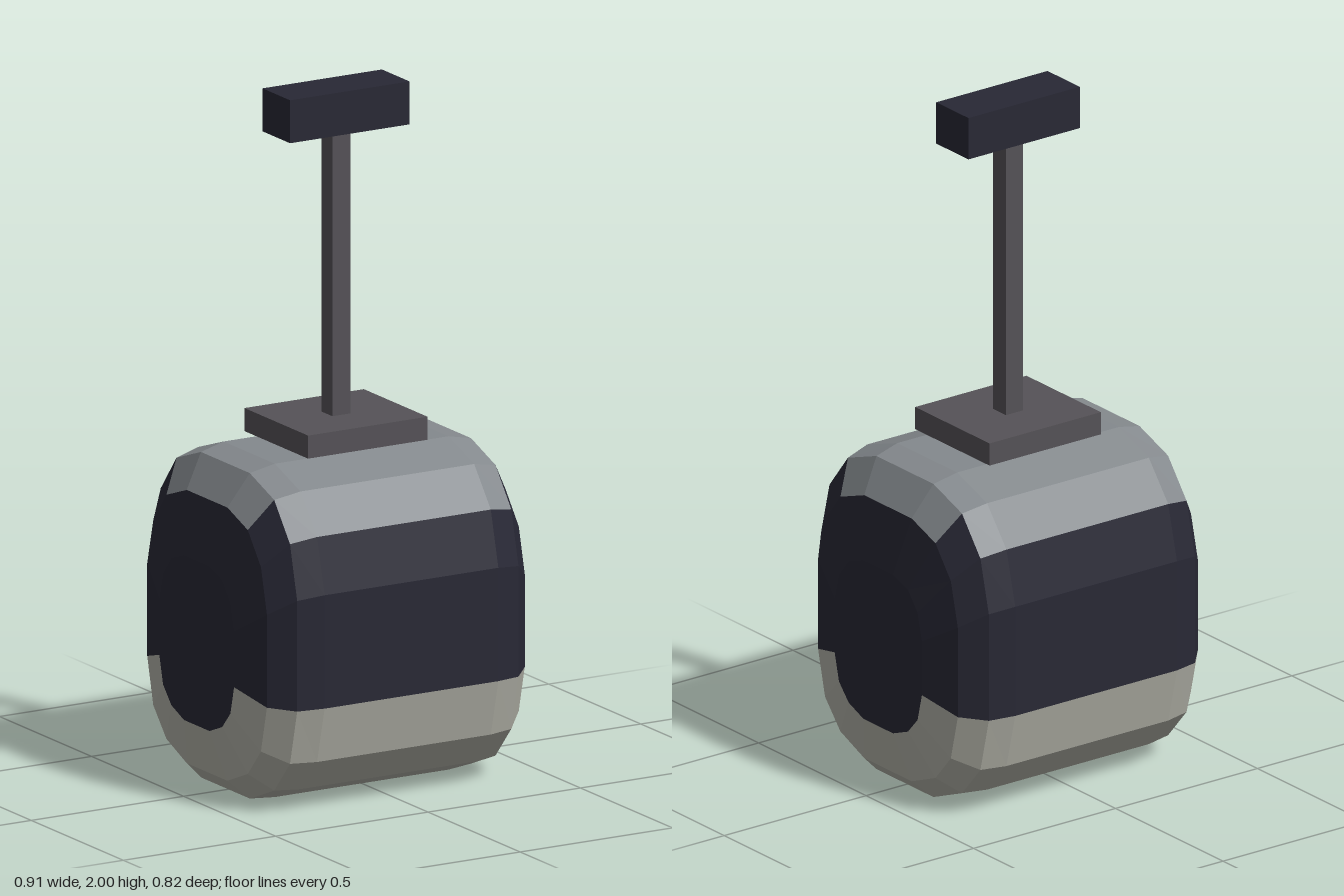
import * as THREE from 'three';

const paint = (name, color) => new THREE.MeshStandardMaterial({ name, color });

export function createModel() {
  const model = new THREE.Group();
  model.name = 'cableCarCabin';
  const roofGrey = paint('roofGrey', 0x84898d);
  const darkGlass = paint('darkGlass', 0x282835);
  const paleShell = paint('paleShell', 0xb2b2a8);
  const steel = paint('steel', 0x555257);

  // Half cross-section, top to bottom: [z factor, y factor]
  const half = [[0.34, 1], [0.68, 0.95], [0.9, 0.835], [1, 0.67], [1, 0.33], [0.9, 0.16], [0.68, 0.057], [0.34, 0]];
  const outline = [...half, ...half.map(([z, y]) => [-z, y]).reverse()];
  const n = outline.length;

  // Rings from the middle outwards: x, half depth, bottom, top
  const side = [[0.285, 0.41, 0, 0.97], [0.363, 0.39, 0.005, 0.952], [0.423, 0.325, 0.06, 0.855], [0.457, 0.203, 0.2, 0.68]];
  const stations = [...side.map(([x, ...r]) => [-x, ...r]).reverse(), ...side];
  const rings = stations.map(([x, d, lo, hi]) => outline.map(([z, y]) => [x, lo + (hi - lo) * y, z * d]));

  // Sort the faces into roof, window band and lower shell
  const parts = { roof: [], windows: [], lowerShell: [] };
  const tri = (part, ...corners) => parts[part].push(...corners.flat());
  for (let i = 0; i < rings.length - 1; i++) {
    const band = Math.max(0, Math.abs(i - 3)); // 0 is the middle, 3 the outermost bevel
    const roofEnd = [1, 1, 0, -2][band];
    for (let k = 0; k < n; k++) {
      const row = k === n - 1 ? -1 : Math.min(k, 14 - k);
      const part = row <= roofEnd ? 'roof' : row < 4 ? 'windows' : 'lowerShell';
      const m = (k + 1) % n;
      const [a, b, c, d] = [rings[i][k], rings[i][m], rings[i + 1][m], rings[i + 1][k]];
      tri(part, a, b, c);
      tri(part, a, c, d);
    }
  }

  // Flat end windows
  for (const [ring, right] of [[rings[0], false], [rings[rings.length - 1], true]]) {
    const centre = [ring[0][0], 0.44, 0];
    for (let k = 0; k < n; k++) {
      const a = ring[k], b = ring[(k + 1) % n];
      if (right) tri('windows', centre, a, b);
      else tri('windows', centre, b, a);
    }
  }

  const cabin = new THREE.Group();
  cabin.name = 'cabin';
  const colours = { roof: roofGrey, windows: darkGlass, lowerShell: paleShell };
  for (const [name, points] of Object.entries(parts)) {
    const geometry = new THREE.BufferGeometry();
    geometry.setAttribute('position', new THREE.Float32BufferAttribute(points, 3));
    geometry.computeVertexNormals(); // unshared corners keep the facets flat
    const mesh = new THREE.Mesh(geometry, colours[name]);
    mesh.name = name;
    cabin.add(mesh);
  }
  model.add(cabin);

  // Hanger: mounting plate, post and cable grip
  const box = (name, w, d, y0, y1, material) => {
    const mesh = new THREE.Mesh(new THREE.BoxGeometry(w, y1 - y0, d), material);
    mesh.name = name;
    mesh.position.y = (y0 + y1) / 2;
    model.add(mesh);
  };
  box('mountingPlate', 0.392, 0.346, 0.98, 1.047, steel);
  box('hangerPost', 0.06, 0.06, 1.047, 1.875, steel);
  box('cableGrip', 0.392, 0.15, 1.875, 2, darkGlass);
  return model;
}
